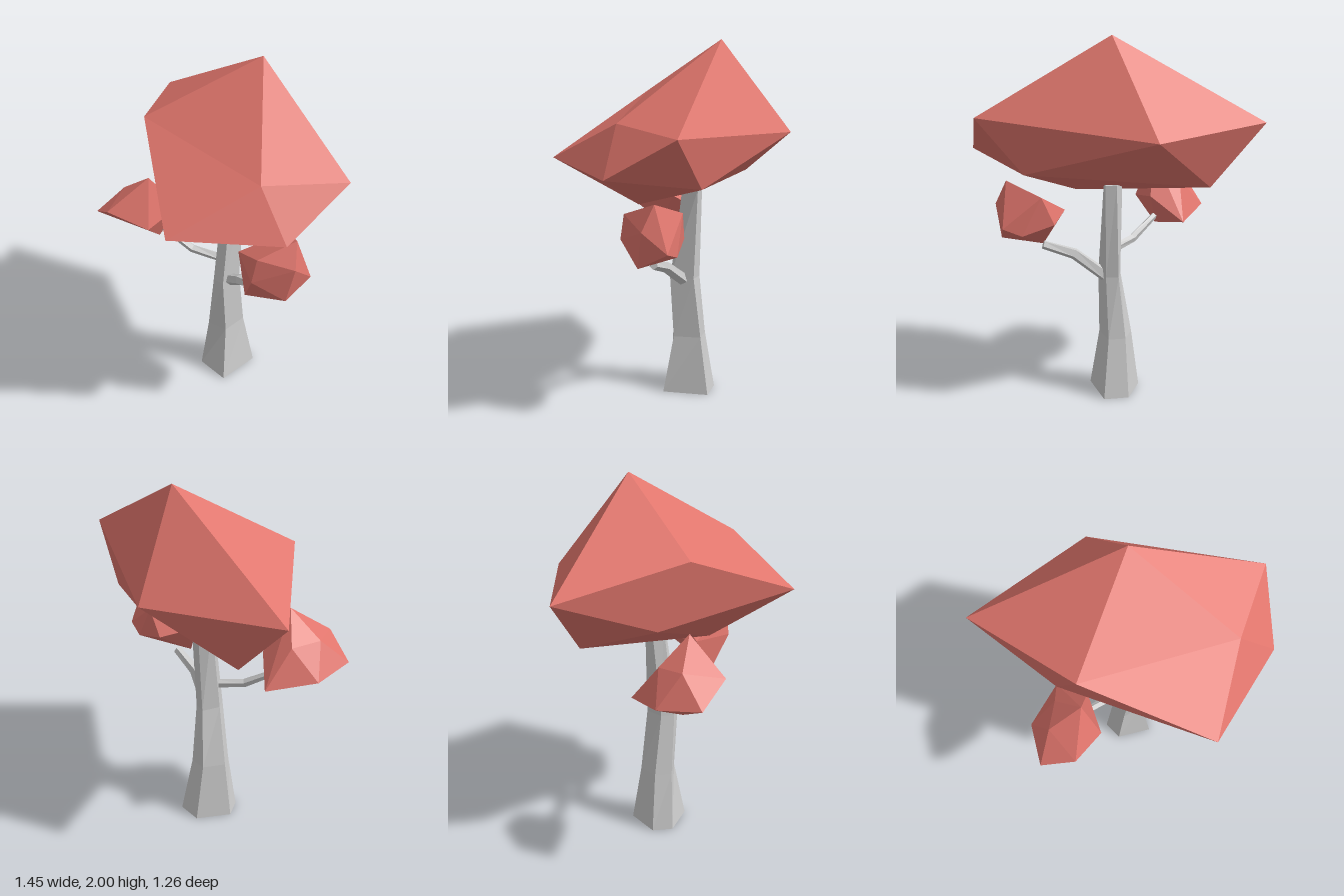
import * as THREE from 'three';
import { ConvexGeometry } from 'three/addons/geometries/ConvexGeometry.js';

const bark = new THREE.MeshStandardMaterial({ color: 0xcccccc, flatShading: true });
const leaf = new THREE.MeshStandardMaterial({ color: 0xe0756c, flatShading: true });

const V = (p) => new THREE.Vector3(...p);

// Flat-shaded geometry from triangles given as triples of points
function facets(tris) {
  const g = new THREE.BufferGeometry().setFromPoints(tris.flat());
  g.computeVertexNormals();
  return g;
}

// Closed skin over a stack of rings with equal point counts
function loft(rings) {
  const tris = [];
  const n = rings[0].length;
  const first = rings[0];
  const last = rings[rings.length - 1];
  for (let r = 0; r < rings.length - 1; r++) {
    for (let i = 0; i < n; i++) {
      const j = (i + 1) % n;
      const [a, b] = [rings[r], rings[r + 1]];
      tris.push([a[j], a[i], b[i]], [a[j], b[i], b[j]]);
    }
  }
  for (let i = 1; i < n - 1; i++) {
    tris.push([first[0], first[i], first[i + 1]], [last[0], last[i + 1], last[i]]);
  }
  return facets(tris);
}

// Distorted icosahedron: top point, two staggered rings of five, bottom point
function crown(top, upper, lower, bottom) {
  const tris = [];
  for (let i = 0; i < 5; i++) {
    const j = (i + 1) % 5;
    tris.push(
      [top, upper[j], upper[i]],
      [upper[i], upper[j], lower[i]],
      [lower[i], upper[j], lower[j]],
      [lower[i], lower[j], bottom],
    );
  }
  return facets(tris);
}

// Tapered five-sided limb along a bent path
function limb(path, radii) {
  const pts = path.map(V);
  const rings = pts.map((p, k) => {
    const dir = pts[Math.min(k + 1, pts.length - 1)].clone()
      .sub(pts[Math.max(k - 1, 0)]).normalize();
    const q = new THREE.Quaternion().setFromUnitVectors(new THREE.Vector3(0, 0, 1), dir);
    return Array.from({ length: 5 }, (_, i) => {
      const a = (i / 5) * Math.PI * 2;
      return new THREE.Vector3(Math.cos(a), -Math.sin(a), 0)
        .multiplyScalar(radii[k]).applyQuaternion(q).add(p);
    });
  });
  return loft(rings);
}

export function createModel() {
  const group = new THREE.Group();
  const add = (name, geometry, material) => {
    const mesh = new THREE.Mesh(geometry, material);
    mesh.name = name;
    group.add(mesh);
  };

  // Trunk: five-sided, flared at the foot; each section is a height and its x, z corners
  const sections = [
    [0, [[0.075, -0.2], [0.025, 0.05], [-0.17, 0], [-0.2, -0.11], [-0.055, -0.245]]],
    [0.33, [[0.025, -0.16], [0, -0.01], [-0.12, -0.01], [-0.155, -0.1], [-0.065, -0.19]]],
    [0.68, [[0.02, -0.12], [-0.005, 0.01], [-0.075, 0], [-0.1, -0.07], [-0.04, -0.155]]],
    [1.2, [[0.035, -0.14], [0, -0.06], [-0.055, -0.06], [-0.08, -0.12], [-0.02, -0.165]]],
  ];
  add('trunk', loft(sections.map(([y, c]) => c.map(([x, z]) => V([x, y, z])))), bark);

  // Branches
  add('leftBranch', limb(
    [[-0.01, 0.67, -0.06], [0.13, 0.79, 0.04], [0.29, 0.85, 0.1]], [0.035, 0.032, 0.024]), bark);
  add('rightBranch', limb(
    [[-0.06, 0.81, -0.05], [-0.22, 0.84, 0], [-0.4, 0.95, 0.04]], [0.024, 0.024, 0.018]), bark);

  // Main crown
  add('mainCrown', crown(
    V([0.065, 2, -0.255]),
    [[-0.73, 1.53, -0.51], [0.015, 1.505, -0.635], [0.72, 1.6, -0.015],
      [0.395, 1.62, 0.28], [-0.425, 1.675, 0.12]].map(V),
    [[-0.43, 1.2, -0.44], [0.51, 1.31, -0.14], [0.585, 1.375, 0.34],
      [0.08, 1.385, 0.63], [-0.48, 1.325, -0.035]].map(V),
    V([0.04, 1.115, 0.18]),
  ), leaf);

  // Small leaf clumps at the branch ends
  add('rightClump', new ConvexGeometry([
    [-0.42, 1.3, 0.116], [-0.61, 1.165, 0.1], [-0.565, 1.13, 0.31], [-0.73, 1.02, 0.21],
    [-0.365, 1.03, 0.21], [-0.33, 1.07, -0.01], [-0.44, 0.945, -0.18], [-0.67, 0.99, -0.025],
    [-0.51, 1.15, -0.03], [-0.405, 0.895, 0.06], [-0.58, 0.93, 0.1],
  ].map(V)), leaf);
  add('leftClump', new ConvexGeometry([
    [0.505, 1.235, 0.095], [0.365, 1.15, 0.25], [0.37, 1.155, -0.05], [0.155, 1.03, 0.1],
    [0.345, 1.01, 0.27], [0.25, 0.83, 0.18], [0.5, 0.9, 0.18], [0.56, 0.99, 0.03],
    [0.54, 1.1, 0.16], [0.47, 0.95, -0.02], [0.3, 1.0, -0.06],
  ].map(V)), leaf);

  return group;
}
